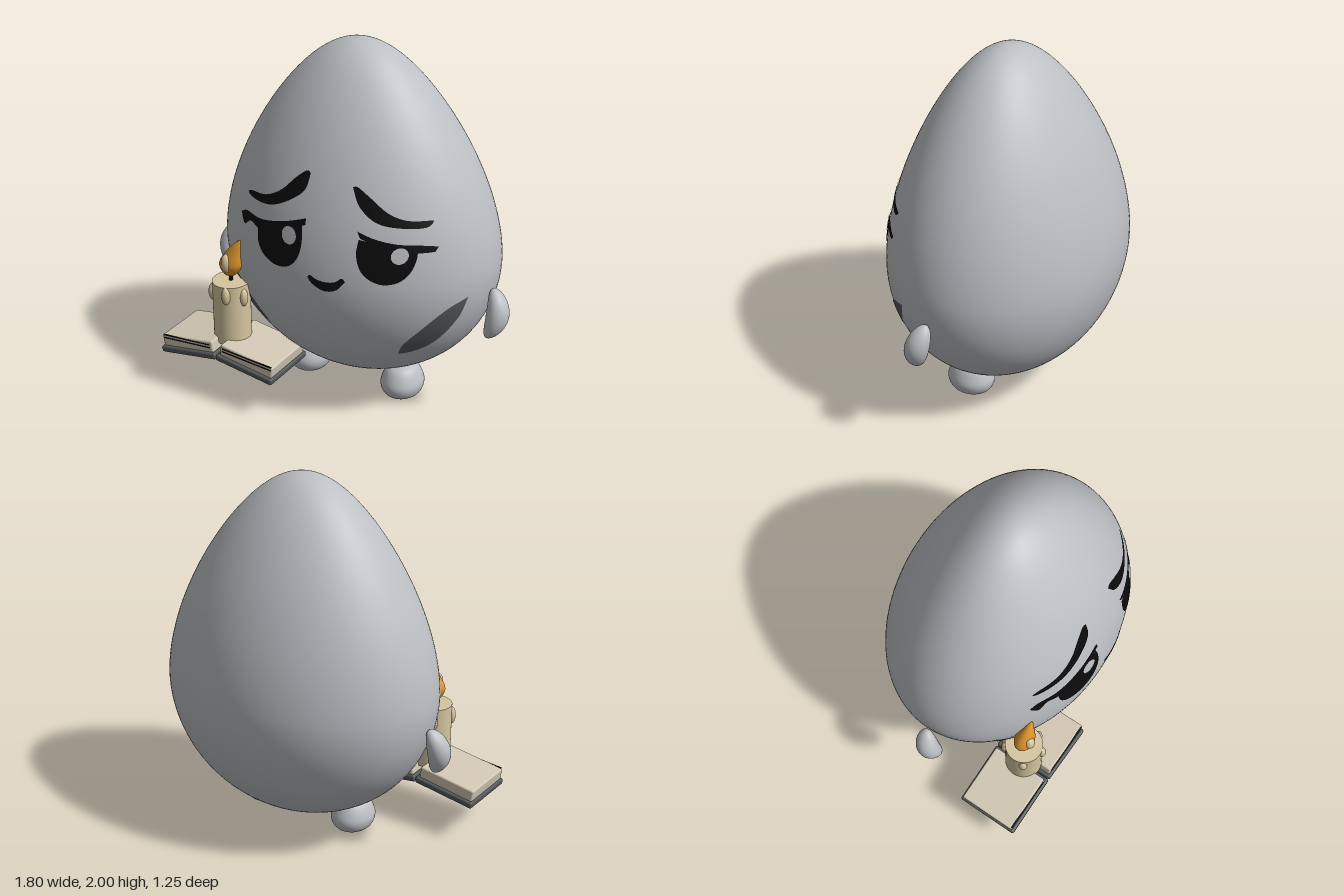
import * as THREE from 'three';
import { RoundedBoxGeometry } from 'three/addons/geometries/RoundedBoxGeometry.js';

const material = (name, color) => Object.assign(new THREE.MeshStandardMaterial({ color }), { name });

// Egg outline: relative width (0..1) and depth centre at height y
const BASE = 0.12, WIDEST = 0.85, TOP = 2, HALF_W = 0.785, HALF_D = 0.6;
function eggWidth(y) {
  const t = y > WIDEST ? (y - WIDEST) / (TOP - WIDEST) : (WIDEST - y) / (WIDEST - BASE);
  const round = Math.sqrt(Math.max(0, 1 - t * t));
  return y > WIDEST ? round * (1 - 0.27 * t ** 1.5) : round;
}
const eggCentre = (y) => -0.035 + 0.02 * (y - WIDEST);
function eggFront(x, y) {
  return eggCentre(y) + HALF_D * Math.sqrt(Math.max(0, eggWidth(y) ** 2 - (x / HALF_W) ** 2));
}

function eggGeometry() {
  const profile = [];
  for (let i = 0; i <= 72; i++) {
    const y = (BASE + TOP) / 2 - Math.cos((i / 72) * Math.PI) * (TOP - BASE) / 2;
    profile.push(new THREE.Vector2(eggWidth(y), y));
  }
  const g = new THREE.LatheGeometry(profile, 96);
  g.scale(HALF_W, 1, HALF_D);
  const p = g.attributes.position;
  for (let i = 0; i < p.count; i++) p.setZ(i, p.getZ(i) + eggCentre(p.getY(i)));
  return g;
}

// Patch laid on the front of the egg between two edges, given left to right in hundredths
function patchGeometry(upper, lower, lift) {
  const curve = (pts) => new THREE.CatmullRomCurve3(pts.map(([x, y]) => new THREE.Vector3(x / 100, y / 100, 0)));
  const a = curve(upper), b = curve(lower), nu = 32, nv = 10;
  const pos = [], index = [];
  for (let i = 0; i <= nu; i++) {
    const p = a.getPointAt(i / nu), q = b.getPointAt(i / nu);
    for (let j = 0; j <= nv; j++) {
      const c = p.clone().lerp(q, j / nv);
      pos.push(c.x, c.y, eggFront(c.x, c.y) + lift);
      if (i < nu && j < nv) {
        const k = i * (nv + 1) + j, m = k + nv + 1;
        index.push(k, k + 1, m, m, k + 1, m + 1);
      }
    }
  }
  const g = new THREE.BufferGeometry();
  g.setAttribute('position', new THREE.Float32BufferAttribute(pos, 3));
  g.setIndex(index);
  g.computeVertexNormals();
  return g;
}

// Upper or lower half of an oval outline, left to right
const arc = (cx, cy, rx, ry) => Array.from({ length: 13 }, (_, i) => {
  const t = Math.PI * (1 - i / 12);
  return [cx + rx * Math.cos(t), cy + ry * Math.sin(t)];
});

const lathe = (pts, n) => new THREE.LatheGeometry(
  new THREE.SplineCurve(pts.map(([x, y]) => new THREE.Vector2(x, y))).getPoints(28)
    .map((v) => new THREE.Vector2(Math.max(0, v.x), v.y)), n);

export function createModel() {
  const skin = material('pale grey', 0xbcbfc3);
  const ink = material('black', 0x0b0b0b);
  const slate = material('slate grey', 0x54595b);
  const paper = material('paper', 0xd2c7b3);
  const wax = material('wax', 0xd6c6a0);
  const fire = material('flame orange', 0xdc942c);

  const model = new THREE.Group();
  model.name = 'eggFigure';
  const add = (name, geometry, mat, x = 0, y = 0, z = 0, parent = model) => {
    const mesh = new THREE.Mesh(geometry, mat);
    mesh.name = name;
    mesh.position.set(x, y, z);
    parent.add(mesh);
    return mesh;
  };

  add('body', eggGeometry(), skin);

  // Face and side marks
  const patch = (name, mat, upper, lower, lift = 0.004) => add(name, patchGeometry(upper, lower, lift), mat);
  patch('rightBrow', ink,
    [[-43, 121], [-41, 122.3], [-28, 124.7], [-17.7, 130.5], [-9.8, 138.5], [-3.6, 143], [-1.8, 142]],
    [[-43, 121], [-41, 120], [-25.6, 120.4], [-12.4, 126.3], [-3.4, 134], [-1.8, 142]]);
  patch('leftBrow', ink,
    [[21.6, 139], [23, 139.5], [29.8, 135.3], [40.4, 127.3], [48.3, 124], [58.8, 123]],
    [[21.6, 139], [26, 130.5], [35, 123], [45.6, 120.4], [57.8, 120.4], [58.8, 123]]);
  patch('rightLid', ink,
    [[-46.7, 109], [-42.5, 111.4], [-30.9, 111.4], [-15, 115], [-0.8, 120]],
    [[-46, 107], [-43, 104], [-38, 107.7], [-31, 106], [-15, 111.4], [-0.5, 116.7]]);
  patch('leftLid', ink,
    [[27, 118], [35, 115], [45.6, 112.5], [56, 111.4], [62.5, 110]],
    [[28.8, 114.6], [37.7, 111], [48.3, 108.8], [56, 107.6], [61.5, 107.5]]);
  patch('rightEye', ink, [[-31.5, 109], [-15, 112.5], [-2.6, 116]],
    [[-31.5, 109], [-31, 100], [-26.6, 94], [-17.7, 90.8], [-8.7, 93], [-3.4, 99.7], [-1.8, 109], [-2.6, 116]], 0.005);
  patch('leftEye', ink, [[28.2, 114], [41, 112], [54.6, 109.8]],
    [[28.2, 114], [27.7, 106.6], [30.3, 98], [35, 93.4], [41.4, 91.2], [48.3, 92.8], [53, 98], [55, 106], [54.6, 109.8]], 0.005);
  patch('rightEyeShine', skin, arc(-9.8, 109.3, 4.5, 4.7), arc(-9.8, 109.3, 4.5, -4.7), 0.009);
  patch('leftEyeShine', skin, arc(47.8, 106.6, 3.8, 4.2), arc(47.8, 106.6, 3.8, -4.2), 0.009);
  patch('mouth', ink,
    [[2.5, 90], [3.6, 91.2], [7.1, 89.7], [12.4, 89], [17.7, 90], [21.4, 92.6], [23, 91]],
    [[2.5, 90], [3.2, 88.4], [7.1, 85.4], [12.4, 83.8], [18.2, 85.4], [23, 91]]);
  patch('leftSideMark', slate, [[43, 44.5], [46, 51], [56, 62.6], [68, 75], [74, 78.8]],
    [[43, 44.5], [49, 46], [59, 52], [70, 67], [74, 78.8]]);
  patch('rightSideMark', slate, [[-64.5, 79.5], [-57, 74], [-46, 63], [-36, 52], [-32, 46]],
    [[-64.5, 79.5], [-60, 66], [-49, 52], [-40, 47], [-32, 46]]);

  // Curved arms and domed feet, mirrored
  for (const [label, s] of [['left', 1], ['right', -1]]) {
    const arm = new THREE.SphereGeometry(1, 32, 24);
    arm.scale(0.06, 0.137, 0.065);
    const p = arm.attributes.position;
    for (let i = 0; i < p.count; i++) p.setX(i, p.getX(i) - s * 2 * p.getY(i) ** 2);
    arm.computeVertexNormals();
    add(label + 'Arm', arm, skin, s * 0.838, 0.635, 0.012).rotation.x = -0.25;

    const foot = lathe([[0, 0], [0.06, 0.004], [0.1, 0.03], [0.117, 0.08], [0.105, 0.13], [0.08, 0.175], [0.04, 0.198], [0, 0.2]], 36);
    foot.scale(1, 1, 1.15);
    add(label + 'Foot', foot, skin, s * 0.295, 0, 0.035);
  }

  // Open book, its halves sloping down from the spine
  const book = new THREE.Group();
  book.name = 'openBook';
  book.position.set(-0.545, 0.255, 0.438);
  model.add(book);
  for (const s of [1, -1]) {
    const half = new THREE.Group();
    half.name = s > 0 ? 'leftBookHalf' : 'rightBookHalf';
    half.rotation.z = -s * 0.15;
    book.add(half);
    add('cover', new RoundedBoxGeometry(0.362, 0.038, 0.355, 3, 0.012), slate, s * 0.18, 0.019, 0, half);
    add('pages', new RoundedBoxGeometry(0.335, 0.07, 0.325, 3, 0.01), paper, s * 0.182, 0.068, 0, half);
    // Dark gaps between loose pages
    for (const y of [0.075, 0.092]) {
      add('pageGap', new THREE.BoxGeometry(0.31, 0.006, 0.008), ink, s * 0.185, y, 0.161, half).rotation.z = s * 0.07;
    }
  }

  // Candle with wax drips, wick and flame
  const candle = new THREE.Group();
  candle.name = 'candle';
  candle.position.set(-0.542, 0.32, 0.44);
  model.add(candle);
  add('candleStick', new THREE.CylinderGeometry(0.103, 0.103, 0.35, 40), wax, 0, 0.175, 0, candle);
  for (const [angle, y] of [[0.3, 0.3], [1.3, 0.28], [2.5, 0.29], [3.7, 0.28], [5.25, 0.28]]) {
    const drip = add('waxDrip', new THREE.SphereGeometry(1, 20, 14), wax,
      Math.sin(angle) * 0.1, y, Math.cos(angle) * 0.1, candle);
    drip.scale.set(0.024, 0.052, 0.024);
  }
  add('wick', new THREE.CylinderGeometry(0.011, 0.011, 0.07, 12), ink, 0, 0.375, 0, candle);
  const flame = lathe([[0, 0], [0.035, 0.012], [0.064, 0.06], [0.062, 0.1], [0.042, 0.155], [0.022, 0.2], [0, 0.235]], 32);
  flame.scale(1, 1, 0.8);
  const f = flame.attributes.position;
  for (let i = 0; i < f.count; i++) f.setX(i, f.getX(i) + 1.4 * f.getY(i) ** 2);
  flame.computeVertexNormals();
  add('flame', flame, fire, -0.005, 0.375, 0, candle);
  add('flameCore', new THREE.SphereGeometry(1, 24, 16), wax, -0.002, 0.463, 0.034, candle).scale.set(0.03, 0.055, 0.03);

  return model;
}
